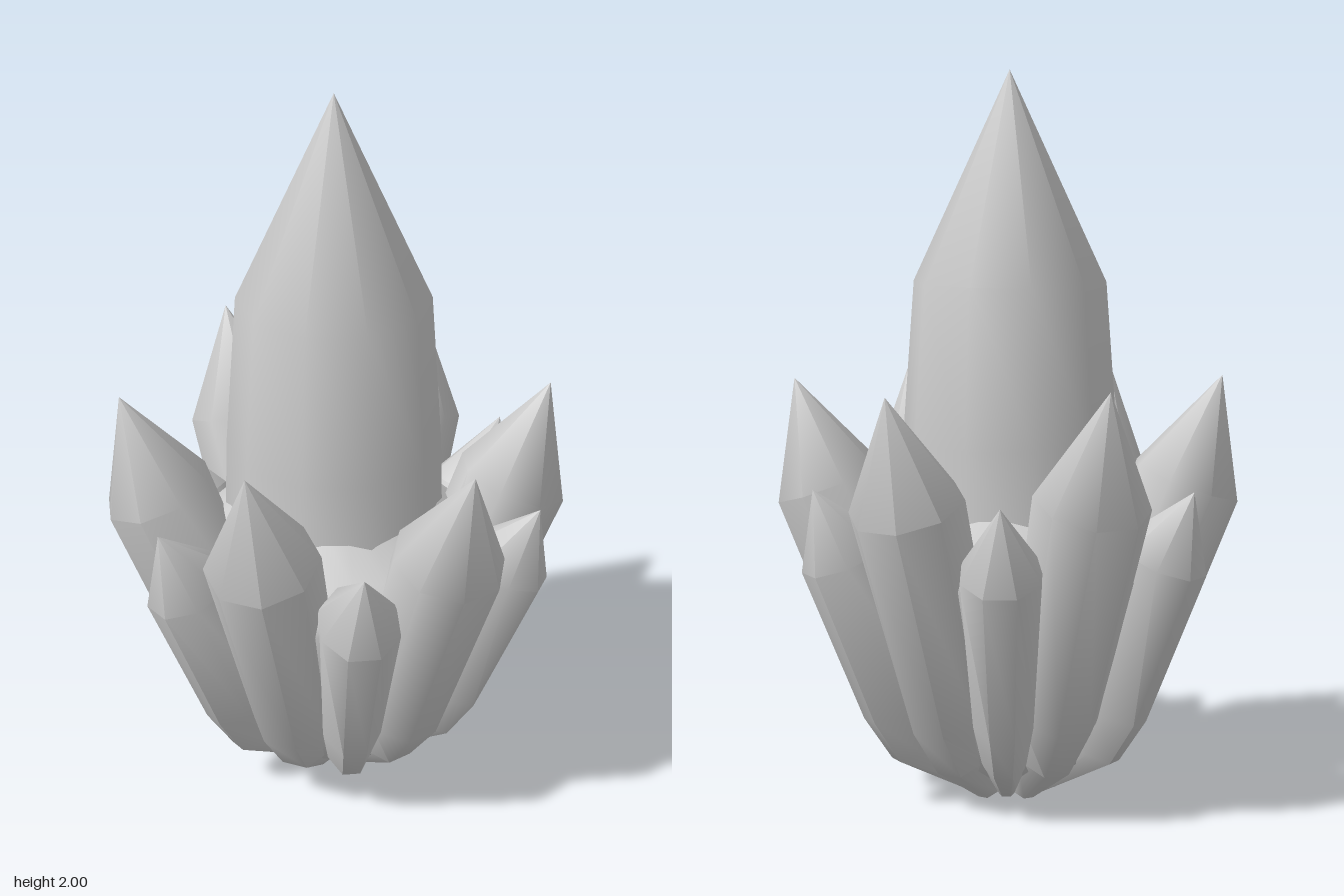
import * as THREE from 'three';
import { toCreasedNormals } from 'three/addons/utils/BufferGeometryUtils.js';

const material = new THREE.MeshStandardMaterial({ color: 0xcccccc });

// Skins a column of tilted rings. Ring: [outerR, outerY, innerR, innerY, halfWidth];
// halfWidth 0 makes a point. Local x points away from the centre of the cluster.
function loft(rings, sides) {
  const grow = 1 / Math.cos(Math.PI / sides);
  const point = ([ro, yo, ri, yi, w], k) => {
    const a = ((k + 0.5) / sides) * Math.PI * 2;
    const c = (Math.cos(a) * grow) / 2;
    return [(ro + ri) / 2 + c * (ro - ri), (yo + yi) / 2 + c * (yo - yi), Math.sin(a) * grow * w];
  };
  const positions = [];
  for (let r = 0; r < rings.length - 1; r++) {
    const low = rings[r], high = rings[r + 1];
    for (let k = 0; k < sides; k++) {
      const a = point(low, k), b = point(low, k + 1);
      const c = point(high, k), d = point(high, k + 1);
      if (high[4] > 0) positions.push(...a, ...c, ...d);
      if (low[4] > 0) positions.push(...a, ...d, ...b);
    }
  }
  const geometry = new THREE.BufferGeometry();
  geometry.setAttribute('position', new THREE.Float32BufferAttribute(positions, 3));
  return toCreasedNormals(geometry, 0.9);
}

function addMesh(parent, name, geometry) {
  const mesh = new THREE.Mesh(geometry, material);
  mesh.name = name;
  parent.add(mesh);
  return mesh;
}

export function createModel() {
  const group = new THREE.Group();
  group.name = 'crystalCluster';

  // Tall central crystal
  const centre = addMesh(group, 'centralCrystal', loft([
    [0.3, 0.6, -0.3, 0.6, 0.29],
    [0.285, 1.0, -0.285, 1.0, 0.28],
    [0.255, 1.43, -0.255, 1.43, 0.25],
    [0, 2, 0, 2, 0],
  ], 10));
  centre.position.x = -0.01;

  // Bowl that fills the valleys between the crystals
  const bowl = [
    [0, 0.02], [0.09, 0.025], [0.26, 0.12], [0.35, 0.26],
    [0.48, 0.66], [0.46, 0.71], [0.37, 0.75], [0.25, 0.86],
  ].map(([x, y]) => new THREE.Vector2(x, y));
  addMesh(group, 'bowl', toCreasedNormals(new THREE.LatheGeometry(bowl, 24), 0.9));

  // Six large outer crystals: angle in degrees, height factor
  const large = loft([
    [0.07, 0.03, 0.07, 0.03, 0],
    [0.13, 0.005, 0.05, 0.06, 0.035],
    [0.3, 0.11, 0.12, 0.25, 0.09],
    [0.4, 0.24, 0.15, 0.34, 0.115],
    [0.63, 0.82, 0.36, 0.92, 0.145],
    [0.59, 1.16, 0.59, 1.16, 0],
  ], 8);
  for (const [angle, height] of [[0, 0.98], [57, 1], [118, 1.01], [176, 1.025], [240, 1.01], [300, 1.01]]) {
    const crystal = addMesh(group, 'largeOuterCrystal', large);
    crystal.rotation.y = THREE.MathUtils.degToRad(angle);
    crystal.scale.y = height;
  }

  // Six small crystals in the gaps
  const small = loft([
    [0.07, 0.03, 0.07, 0.03, 0],
    [0.12, 0.01, 0.05, 0.06, 0.03],
    [0.35, 0.13, 0.17, 0.22, 0.06],
    [0.43, 0.25, 0.2, 0.33, 0.08],
    [0.605, 0.67, 0.38, 0.76, 0.105],
    [0.59, 0.9, 0.59, 0.9, 0],
  ], 8);
  for (const angle of [32, 89, 148, 206, 270, 330]) {
    const crystal = addMesh(group, 'smallOuterCrystal', small);
    crystal.rotation.y = THREE.MathUtils.degToRad(angle);
  }

  return group;
}
